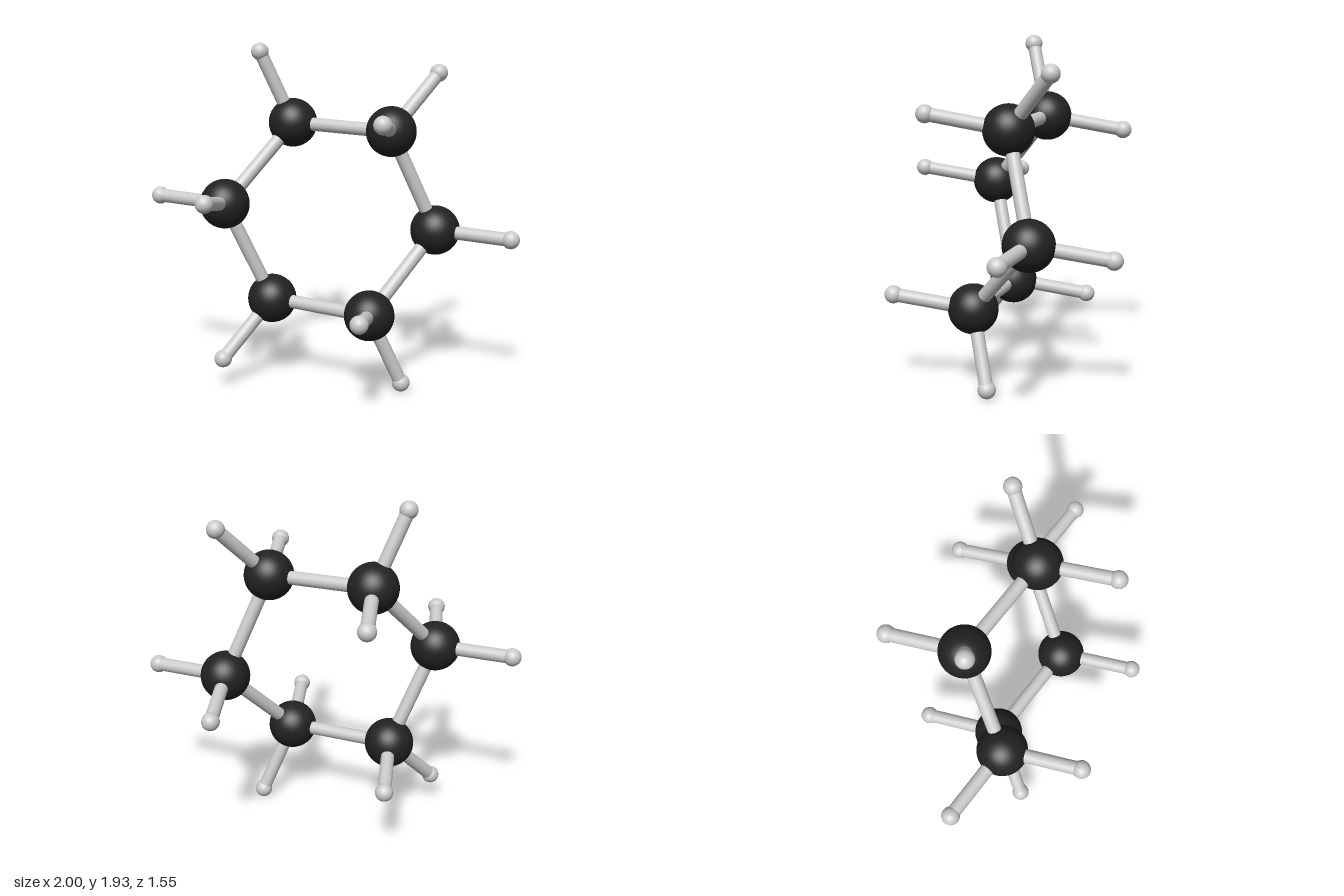
import * as THREE from 'three';

const CENTRE_Y = 0.967;
const CARBON_RADIUS = 0.14, HYDROGEN_RADIUS = 0.05, BOND_RADIUS = 0.038;

// Half of the ring: each carbon with its two hydrogens.
// The other half is this one mirrored through the centre point.
const HALF = [
  { c: [-0.312, 1.476, -0.09], h: [[-0.44, 1.884, 0.05], [-0.487, 1.395, -0.493]] },
  { c: [0.318, 1.46, -0.127], h: [[0.457, 1.77, -0.42], [0.494, 1.545, 0.278]] },
  { c: [0.5, 0.89, -0.322], h: [[0.95, 0.88, -0.35], [0.322, 0.81, -0.725]] },
];

export function createModel() {
  const model = new THREE.Group();
  model.name = 'ringMolecule';

  const dark = new THREE.MeshStandardMaterial({ color: 0x222222 });
  const grey = new THREE.MeshStandardMaterial({ color: 0xcccccc });
  const carbonGeometry = new THREE.SphereGeometry(CARBON_RADIUS, 40, 28);
  const hydrogenGeometry = new THREE.SphereGeometry(HYDROGEN_RADIUS, 28, 20);
  const up = new THREE.Vector3(0, 1, 0);

  function addAtom(name, geometry, material, position) {
    const atom = new THREE.Mesh(geometry, material);
    atom.name = name;
    atom.position.copy(position);
    model.add(atom);
  }

  // Round rod joining two atom centres
  function addBond(name, a, b) {
    const along = b.clone().sub(a);
    const geometry = new THREE.CylinderGeometry(BOND_RADIUS, BOND_RADIUS, along.length(), 28);
    const bond = new THREE.Mesh(geometry, grey);
    bond.name = name;
    bond.position.copy(a).add(b).multiplyScalar(0.5);
    bond.quaternion.setFromUnitVectors(up, along.normalize());
    model.add(bond);
  }

  // All six carbons in ring order
  const ring = [];
  for (const sign of [1, -1]) {
    const place = ([x, y, z]) =>
      new THREE.Vector3(sign * x, CENTRE_Y + sign * (y - CENTRE_Y), sign * z);
    for (const { c, h } of HALF) ring.push({ c: place(c), h: h.map(place) });
  }

  ring.forEach(({ c, h }, i) => {
    addAtom('carbonAtom', carbonGeometry, dark, c);
    addBond('ringBond', c, ring[(i + 1) % ring.length].c);
    for (const p of h) {
      addAtom('hydrogenAtom', hydrogenGeometry, grey, p);
      addBond('hydrogenBond', c, p);
    }
  });

  return model;
}
